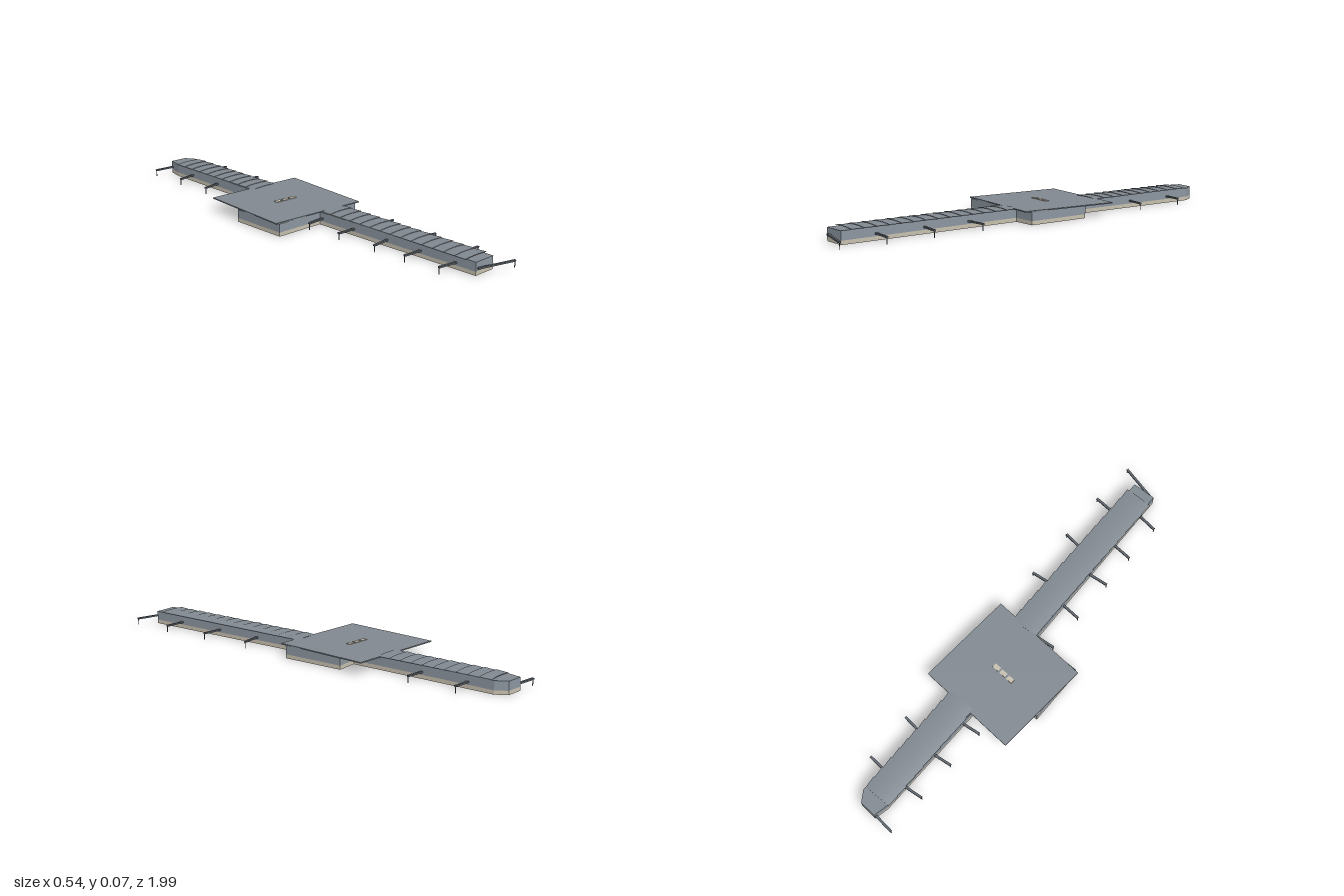
import * as THREE from 'three';

const paint = (name, color, side = THREE.FrontSide) => {
  const m = new THREE.MeshStandardMaterial({ color, side });
  m.name = name;
  return m;
};

export function createModel() {
  const group = new THREE.Group();
  group.name = 'terminal';
  const roofGrey = paint('slate roof', 0x808890);
  const wallGrey = paint('blue grey wall', 0x8b959f, THREE.DoubleSide);
  const stone = paint('pale stone', 0xc6bfae, THREE.DoubleSide);
  const bridgeGrey = paint('dark bridge grey', 0x5c636b);

  const add = (name, geometry, material, parent = group) => {
    const mesh = new THREE.Mesh(geometry, material);
    mesh.name = name;
    parent.add(mesh);
    return mesh;
  };

  // Plan corners as [x, z]: front pier, hall and back pier
  const frontPier = [[0.105, 0.06], [0.18, 0.945], [0.07, 0.955], [-0.01, 0.07]];
  const backPier = [[-0.045, -0.22], [-0.085, -0.93], [-0.075, -0.998], [0.005, -0.998], [0.04, -0.95], [0.085, -0.235]];
  const outline = [[0.215, 0.05], ...frontPier, [-0.25, 0.085], [-0.27, -0.19], ...backPier, [0.19, -0.25]];

  // Upright wall band following the plan, open at top and bottom
  const band = (y0, y1) => {
    const p = [];
    outline.forEach(([ax, az], i) => {
      const [bx, bz] = outline[(i + 1) % outline.length];
      p.push(ax, y0, az, ax, y1, az, bx, y1, bz, ax, y0, az, bx, y1, bz, bx, y0, bz);
    });
    const g = new THREE.BufferGeometry();
    g.setAttribute('position', new THREE.Float32BufferAttribute(p, 3));
    g.computeVertexNormals();
    return g;
  };
  add('stoneBase', band(0, 0.018), stone);
  add('upperWall', band(0.018, 0.058), wallGrey);

  // Flat ceilings over the piers
  const slab = (points) => {
    const shape = new THREE.Shape(points.map(([x, z]) => new THREE.Vector2(x, -z)));
    return new THREE.ExtrudeGeometry(shape, { depth: 0.003, bevelEnabled: false })
      .rotateX(-Math.PI / 2).translate(0, 0.056, 0);
  };
  add('frontPierCeiling', slab(frontPier), roofGrey);
  add('backPierCeiling', slab(backPier), roofGrey);

  // Main hall roof with three skylights
  add('hallRoof', new THREE.BoxGeometry(0.478, 0.005, 0.465), roofGrey).position.set(-0.0265, 0.0605, -0.1525);
  for (let i = 0; i < 3; i++) {
    add('skylight', new THREE.BoxGeometry(0.032, 0.003, 0.021), stone).position.set(-0.07 + i * 0.041, 0.0645, -0.152);
  }

  // Arched roof panel: flares and lifts towards its front edge
  const panelGeometry = (width, length) => {
    const g = new THREE.BoxGeometry(width, 0.002, length, 8, 1, 1);
    const pos = g.attributes.position;
    for (let i = 0; i < pos.count; i++) {
      const x = pos.getX(i);
      const front = pos.getZ(i) > 0 ? 1 : 0;
      const u = x / (width / 2);
      pos.setY(i, pos.getY(i) + (1 - u * u) * 0.004 + front * 0.002);
      pos.setX(i, x * (front ? 1 : 0.93));
    }
    g.computeVertexNormals();
    return g;
  };
  const pierRoof = (name, [ax, az], [bx, bz], count, width) => {
    const roof = new THREE.Group();
    roof.name = name;
    const step = (bz - az) / count;
    const geometry = panelGeometry(width, step * 1.04);
    for (let i = 0; i < count; i++) {
      const t = (i + 0.5) / count;
      const panel = add('roofPanel', geometry, roofGrey, roof);
      panel.position.set(ax + (bx - ax) * t, 0.0595, az + (bz - az) * t);
      panel.rotation.y = Math.atan2(bx - ax, bz - az);
    }
    group.add(roof);
  };
  pierRoof('frontPierRoof', [0.058, 0.07], [0.12, 0.905], 14, 0.134);
  pierRoof('backPierRoof', [-0.025, -0.93], [0.018, -0.37], 10, 0.14);

  // Boarding bridges: [inner x, inner z, outer x, outer z]
  const bridges = [
    [-0.06, -0.99, -0.172, -0.994], [-0.07, -0.814, -0.162, -0.798],
    [-0.06, -0.625, -0.15, -0.608], [-0.045, -0.438, -0.14, -0.42],
    [0.035, -0.823, 0.132, -0.823], [0.055, -0.595, 0.15, -0.59],
    [0, 0.085, -0.097, 0.1], [0.012, 0.28, -0.08, 0.28], [0.03, 0.474, -0.063, 0.49],
    [0.045, 0.66, -0.048, 0.66], [0.065, 0.852, -0.033, 0.847],
    [0.12, 0.318, 0.222, 0.3], [0.14, 0.542, 0.243, 0.548],
    [0.16, 0.78, 0.265, 0.78], [0.08, 0.957, 0.265, 0.99],
  ];
  for (const [ix, iz, ox, oz] of bridges) {
    const bridge = new THREE.Group();
    bridge.name = 'boardingBridge';
    const length = Math.hypot(ox - ix, oz - iz);
    add('walkway', new THREE.BoxGeometry(length, 0.007, 0.011), bridgeGrey, bridge).position.set(length / 2, 0.0305, 0);
    add('leg', new THREE.BoxGeometry(0.003, 0.028, 0.003), bridgeGrey, bridge).position.set(length - 0.002, 0.014, 0);
    bridge.position.set(ix, 0, iz);
    bridge.rotation.y = Math.atan2(iz - oz, ox - ix);
    group.add(bridge);
  }
  return group;
}
